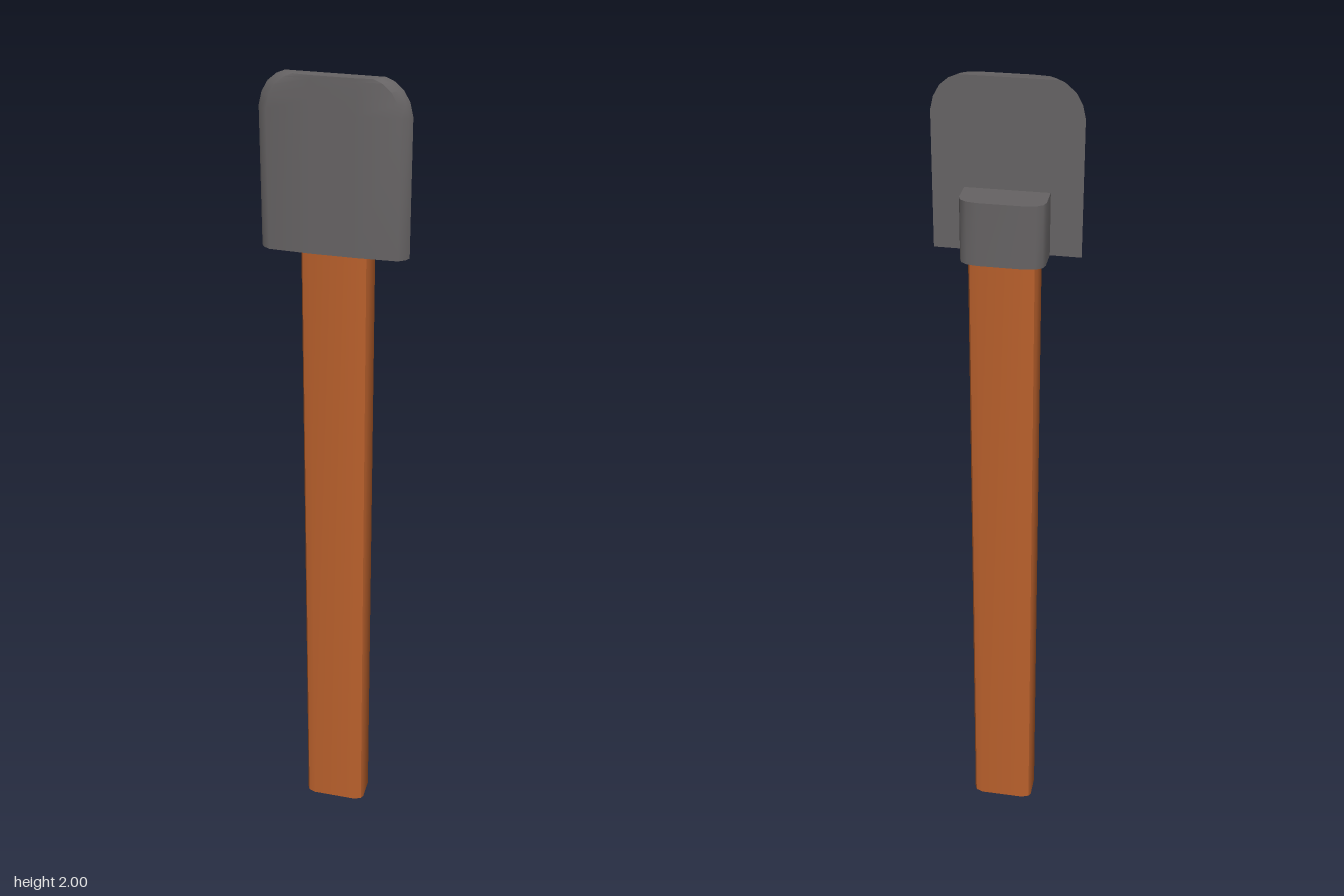
import * as THREE from 'three';
import { toCreasedNormals } from 'three/addons/utils/BufferGeometryUtils.js';

// Mirrors half a cross-section of [x, z] points (listed back to front) across x = 0
const mirrored = (half) => [...half, ...half.slice().reverse().map(([x, z]) => [-x, z])];

// Joins convex cross-sections stacked in y and caps both ends
function loft(sections) {
  const n = sections[0].ring.length;
  const pos = [];
  const index = [];
  for (const { y, ring } of sections) for (const [x, z] of ring) pos.push(x, y, z);
  const top = (sections.length - 1) * n;
  for (let s = 0; s < top; s += n) {
    for (let i = 0; i < n; i++) {
      const j = (i + 1) % n;
      index.push(s + i, s + n + i, s + j, s + j, s + n + i, s + n + j);
    }
  }
  for (let k = 1; k < n - 1; k++) {
    index.push(0, k, k + 1);
    index.push(top, top + k + 1, top + k);
  }
  const geometry = new THREE.BufferGeometry();
  geometry.setAttribute('position', new THREE.Float32BufferAttribute(pos, 3));
  geometry.setIndex(index);
  return toCreasedNormals(geometry, THREE.MathUtils.degToRad(40));
}

const prism = (y0, y1, half) => {
  const ring = mirrored(half);
  return loft([{ y: y0, ring }, { y: y1, ring }]);
};

export function createModel() {
  const group = new THREE.Group();
  const wood = new THREE.MeshStandardMaterial({ color: 0xb9602c });
  const metal = new THREE.MeshStandardMaterial({ color: 0x666364 });

  const add = (name, geometry, material) => {
    const mesh = new THREE.Mesh(geometry, material);
    mesh.name = name;
    group.add(mesh);
  };

  // Long handle with softened corners
  add('handle', prism(0, 1.602, [
    [0.055, -0.045], [0.073, -0.038], [0.078, -0.028],
    [0.078, 0.028], [0.073, 0.038], [0.055, 0.045],
  ]), wood);

  // Socket behind the blade, rounded at the back
  add('socket', prism(1.603, 1.75, [
    [0.052, -0.056], [0.076, -0.052], [0.091, -0.042], [0.096, -0.028], [0.096, 0.03],
  ]), metal);

  // Blade: half width narrows over the rounded top corners, edges bevelled to the front
  const halfWidths = [
    [1.603, 0.168], [1.92, 0.168], [1.95, 0.161], [1.975, 0.147], [1.992, 0.127], [2, 0.108],
  ];
  add('blade', loft(halfWidths.map(([y, w]) => ({
    y,
    ring: mirrored([[w, 0.028], [w - 0.007, 0.04], [w - 0.022, 0.05], [0.05, 0.054]]),
  }))), metal);

  return group;
}
